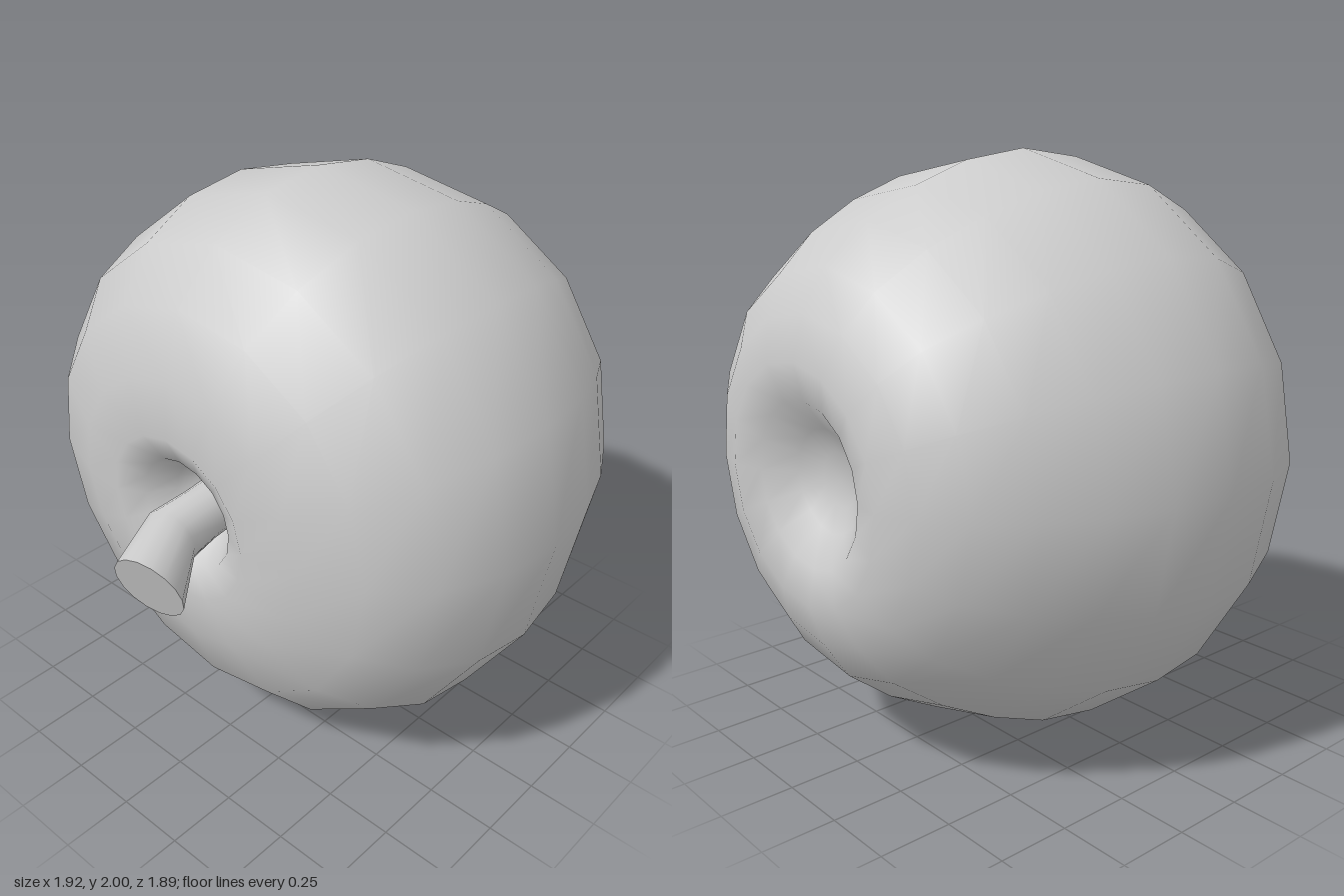
import * as THREE from 'three';
import { mergeVertices } from 'three/addons/utils/BufferGeometryUtils.js';

const SIDES = 16;

// Weld the seam and recompute smooth normals
function smooth(geometry) {
  geometry.deleteAttribute('uv');
  geometry.deleteAttribute('normal');
  const welded = mergeVertices(geometry, 1e-4);
  welded.computeVertexNormals();
  return welded;
}

// Fruit body: [radius, z] from the rear dimple to the front dimple
function fruitBody() {
  const profile = [
    [0, -0.79], [0.09, -0.79], [0.17, -0.83], [0.27, -0.905], [0.39, -0.93],
    [0.53, -0.885], [0.665, -0.8], [0.79, -0.645], [0.89, -0.46], [0.965, -0.26],
    [1, -0.03], [0.97, 0.2], [0.87, 0.41], [0.71, 0.565], [0.49, 0.64],
    [0.3, 0.665], [0.2, 0.62], [0.14, 0.53], [0.09, 0.47], [0, 0.46],
  ].map(([r, z]) => new THREE.Vector2(r, z));
  const geometry = new THREE.LatheGeometry(profile, SIDES);
  geometry.rotateX(Math.PI / 2);

  // Slightly lopsided growth: fuller on +x, ends tilted
  const p = geometry.attributes.position;
  for (let i = 0; i < p.count; i++) {
    const x = p.getX(i), y = p.getY(i), z = p.getZ(i);
    const tilt = z > 0 ? 0.04 * y - 0.02 * x : -0.02 * y - 0.04 * x;
    p.setXYZ(
      i,
      x * 0.96 - 0.03 * (1 - Math.abs(x)),
      1 + y * (1 + 0.04 * x),
      z + tilt * Math.min(1, Math.abs(z) / 0.6),
    );
  }
  return smooth(geometry);
}

// Bent stem: rings of [centre, facing, radius]
const stemRings = [
  [[-0.01, 1.0, 0.42], [0, 0, 1], 0.09],
  [[0.0, 0.99, 0.58], [0, 0, 1], 0.09],
  [[0.01, 0.98, 0.72], [0.15, -0.12, 1], 0.1],
  [[0.11, 0.93, 0.9], [0.2, -0.3, 0.95], 0.127],
].map(([c, n, r]) => ({
  centre: new THREE.Vector3(...c),
  turn: new THREE.Quaternion().setFromUnitVectors(
    new THREE.Vector3(0, 0, 1), new THREE.Vector3(...n).normalize()),
  radius: r,
}));

function stemSide() {
  const geometry = new THREE.CylinderGeometry(1, 1, 1, SIDES, stemRings.length - 1, true);
  geometry.rotateX(Math.PI / 2);
  const p = geometry.attributes.position;
  const v = new THREE.Vector3();
  for (let i = 0; i < p.count; i++) {
    v.fromBufferAttribute(p, i);
    const ring = stemRings[Math.round((v.z + 0.5) * (stemRings.length - 1))];
    v.setZ(0).multiplyScalar(ring.radius).applyQuaternion(ring.turn).add(ring.centre);
    p.setXYZ(i, v.x, v.y, v.z);
  }
  return smooth(geometry);
}

export function createModel() {
  const group = new THREE.Group();
  group.name = 'apple';
  const material = new THREE.MeshStandardMaterial({ color: 0xcccccc });
  const add = (name, geometry, parent) => {
    const mesh = new THREE.Mesh(geometry, material);
    mesh.name = name;
    parent.add(mesh);
    return mesh;
  };

  add('fruit', fruitBody(), group);

  const stem = new THREE.Group();
  stem.name = 'stem';
  group.add(stem);
  add('stemSide', stemSide(), stem);

  // Flat cut end of the stem
  const end = stemRings[stemRings.length - 1];
  const tip = add('stemTip', new THREE.CircleGeometry(end.radius, SIDES, Math.PI / 2), stem);
  tip.position.copy(end.centre);
  tip.quaternion.copy(end.turn);

  return group;
}
